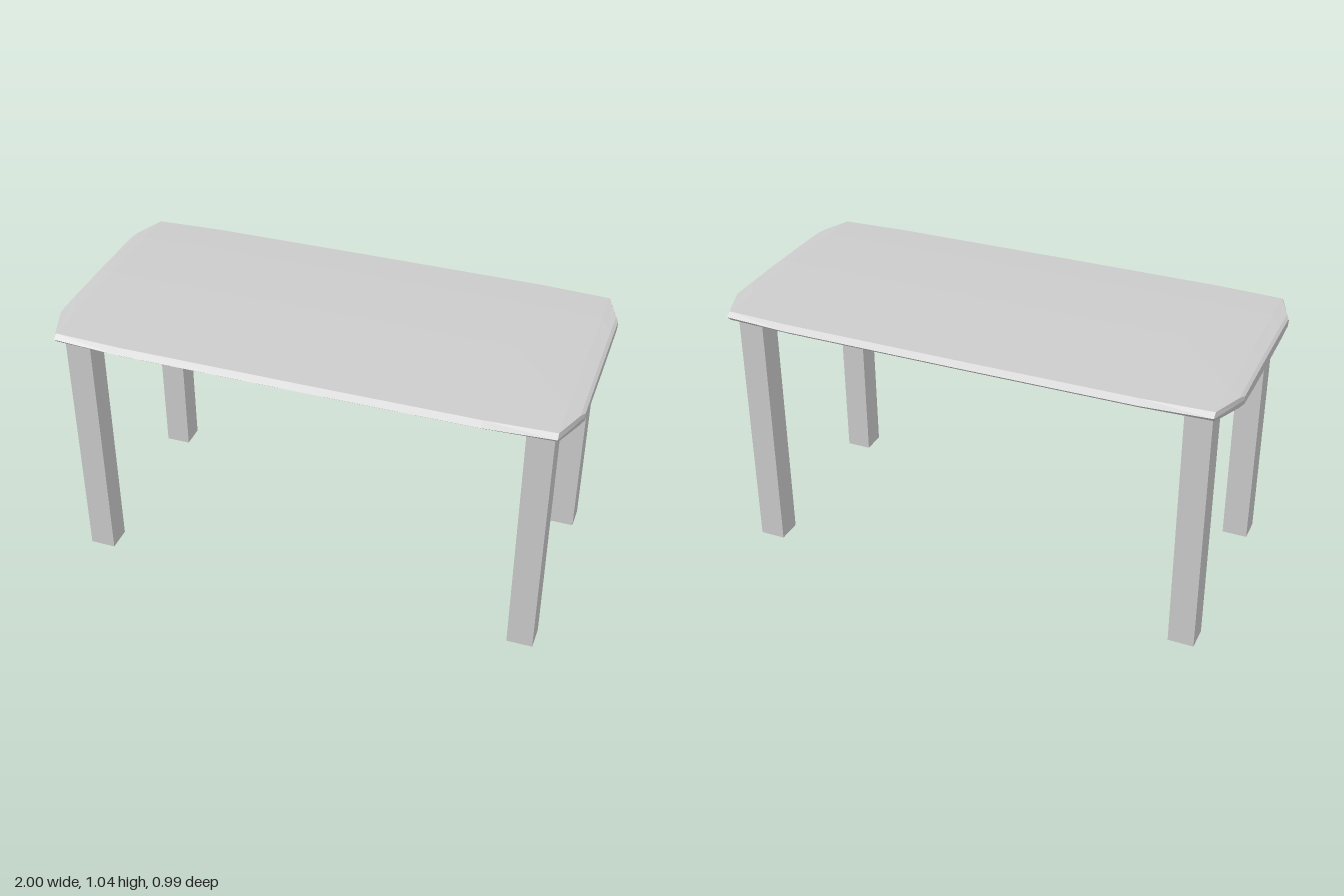
import * as THREE from 'three';

// Table top stations along x: [x, half depth, top y, bottom y, edge inset]
const half = [
  [0, 0.497, 1.043, 0.982, 0.025],
  [0.68, 0.495, 1.043, 0.982, 0.025],
  [0.94, 0.478, 1.042, 0.983, 0.02],
  [0.988, 0.35, 1.038, 0.986, 0.015],
  [1, 0.318, 1.032, 0.992, 0.01],
];

// Closed lens-shaped cross-section, running from the top centre over +z
function section([x, w, top, bottom, inset]) {
  const crown = Math.min(1, w / 0.497) ** 2;
  const side = [
    [w * 0.62, top - 0.003 * crown],
    [w - inset, top - 0.009 * crown],
    [w, 1.018],
    [w - inset, bottom + 0.017 * crown],
    [w * 0.62, bottom + 0.005 * crown],
  ];
  const mirrored = side.map(([z, y]) => [-z, y]).reverse();
  return [[0, top], ...side, [0, bottom], ...mirrored].map(([z, y]) => [x, y, z]);
}

function tableTopGeometry() {
  const stations = [...half.slice(1).map(([x, ...rest]) => [-x, ...rest]).reverse(), ...half];
  const rings = stations.map(section);
  const n = rings[0].length;
  const last = rings.length - 1;
  const index = [];
  for (let i = 0; i < last; i++) {
    for (let k = 0; k < n; k++) {
      const next = (k + 1) % n;
      const a = i * n + k, b = i * n + next;
      index.push(a, b, b + n, a, b + n, a + n);
    }
  }
  // End faces
  for (let k = 1; k < n - 1; k++) {
    index.push(0, k + 1, k);
    index.push(last * n, last * n + k, last * n + k + 1);
  }
  const geometry = new THREE.BufferGeometry();
  geometry.setAttribute('position', new THREE.Float32BufferAttribute(rings.flat(2), 3));
  geometry.setIndex(index);
  geometry.computeVertexNormals();
  return geometry;
}

export function createModel() {
  const group = new THREE.Group();
  group.name = 'table';
  const material = new THREE.MeshStandardMaterial({ color: 0xcccccc, flatShading: true });

  const top = new THREE.Mesh(tableTopGeometry(), material);
  top.name = 'tableTop';
  group.add(top);

  // Four square legs
  const legGeometry = new THREE.BoxGeometry(0.1, 1, 0.098);
  for (const sx of [-1, 1]) {
    for (const sz of [-1, 1]) {
      const leg = new THREE.Mesh(legGeometry, material);
      leg.name = (sz > 0 ? 'front' : 'back') + (sx > 0 ? 'Left' : 'Right') + 'Leg';
      leg.position.set(sx * 0.875, 0.5, sz * 0.375);
      group.add(leg);
    }
  }
  return group;
}
